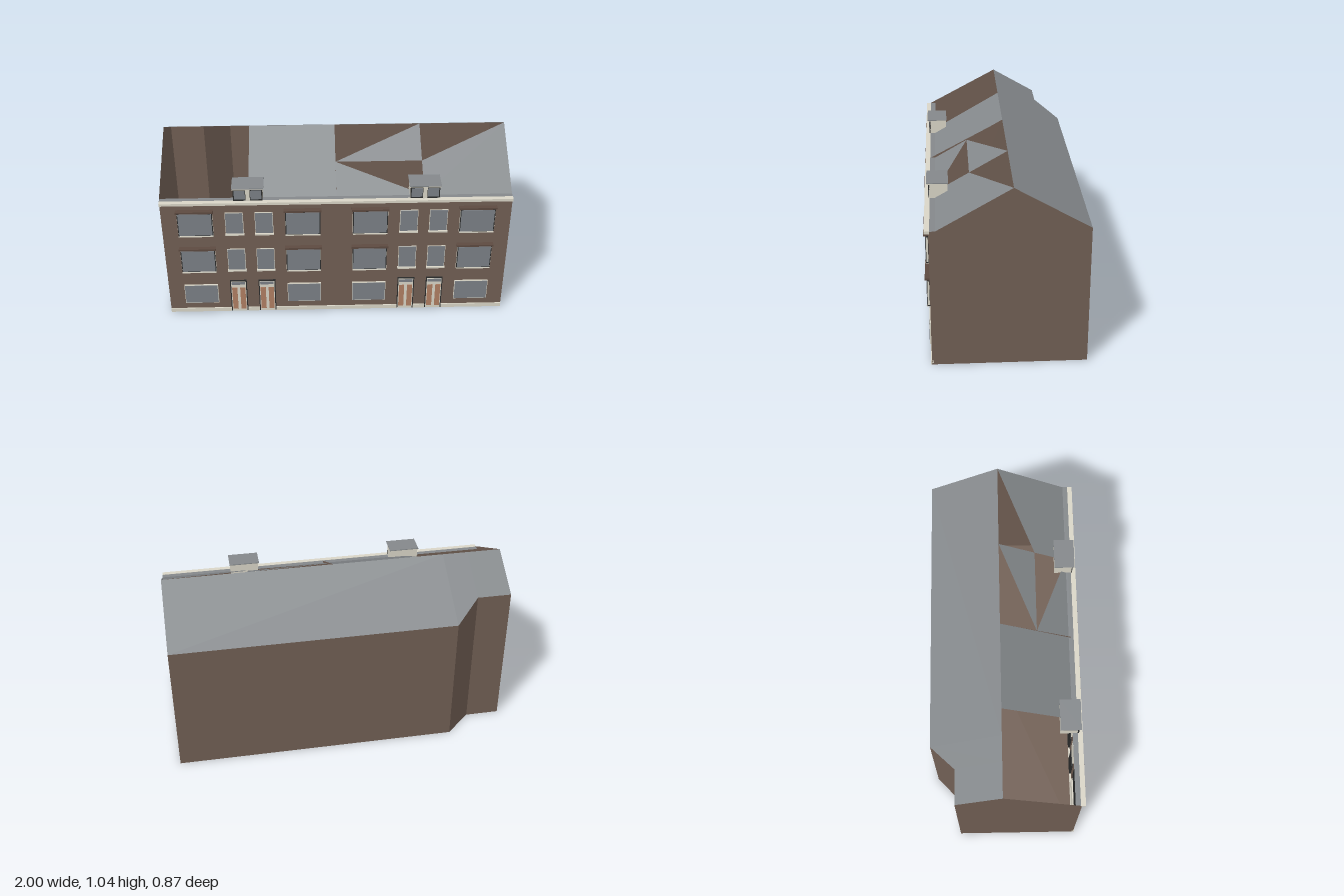
import * as THREE from 'three';

const mat = (name, color, double) => {
  const m = new THREE.MeshStandardMaterial({ color });
  m.name = name;
  if (double) m.side = THREE.DoubleSide;
  return m;
};

export function createModel() {
  const model = new THREE.Group();
  model.name = 'terraceBuilding';
  const brick = mat('brick', 0x715f54, true);
  const slate = mat('slate', 0x84888b, true);
  const glass = mat('glass', 0x7b8086);
  const cream = mat('cream', 0xd9d5c7);
  const dark = mat('darkTrim', 0x2b2c2c);
  const wood = mat('doorWood', 0xb07f63);
  const lintelBrown = mat('lintelBrown', 0x5d4a40);

  // Main dimensions
  const F = 0.408, B = -0.437, RZ = -0.03, RY = 1.037, EY = 0.803, EZ = 0.373;
  const NOTCH = -0.295;
  const slope = (RY - EY) / (RZ - B);
  const backY = z => RY - (RZ - z) * slope;
  const frontY = z => RY - (z - RZ) * (RY - EY) / (EZ - RZ);

  // Flat polygon fan, corners anticlockwise from outside
  function poly(name, material, pts, parent = model) {
    const g = new THREE.BufferGeometry();
    const v = [];
    for (let i = 1; i < pts.length - 1; i++) v.push(...pts[0], ...pts[i], ...pts[i + 1]);
    g.setAttribute('position', new THREE.Float32BufferAttribute(v, 3));
    g.computeVertexNormals();
    const mesh = new THREE.Mesh(g, material);
    mesh.name = name;
    parent.add(mesh);
  }

  // Box given by its minimum and maximum corners
  function box(name, material, x0, x1, y0, y1, z0, z1, parent = model) {
    const mesh = new THREE.Mesh(new THREE.BoxGeometry(x1 - x0, y1 - y0, z1 - z0), material);
    mesh.position.set((x0 + x1) / 2, (y0 + y1) / 2, (z0 + z1) / 2);
    mesh.name = name;
    parent.add(mesh);
  }

  function group(name, x, y = 0) {
    const g = new THREE.Group();
    g.name = name;
    g.position.set(x, y, 0);
    model.add(g);
    return g;
  }

  // Outer walls: plan outline with a chamfered notch at one back corner
  const plan = [[1, F], [1, B], [-0.65, B], [-0.8, NOTCH], [-1, NOTCH], [-1, F]];
  poly('floor', brick, plan.map(([x, z]) => [x, 0, z]).reverse());
  poly('frontWall', brick, [[-1, 0, F], [1, 0, F], [1, EY, F], [-1, EY, F]]);
  for (let i = 1; i < 4; i++) {
    const [[xa, za], [xb, zb]] = [plan[i], plan[i + 1]];
    poly('backWall', brick, [[xa, 0, za], [xb, 0, zb], [xb, backY(zb), zb], [xa, backY(za), za]]);
  }
  // Gables and the party wall; each is a fan from the ridge
  const gable = (x, back, drop = 0) => [
    [x, RY - drop, RZ], [x, EY - drop, EZ], [x, EY - drop, F - drop], [x, 0, F - drop],
    [x, 0, back + drop], [x, backY(back) - drop, back + drop]];
  poly('rightGable', brick, gable(-1, NOTCH));
  poly('leftGable', brick, gable(1, B).reverse());
  poly('partyWall', brick, gable(0, B, 0.003));

  // Rear roof slope
  const rear = (x, z) => [x, backY(z), z];
  poly('rearRoof', slate, [rear(-0.65, RZ), rear(1, RZ), rear(1, B), rear(-0.65, B)]);
  poly('rearRoof', slate, [rear(-1, RZ), rear(-0.8, RZ), rear(-0.8, NOTCH), rear(-1, NOTCH)]);
  poly('rearRoof', slate, [rear(-0.8, RZ), rear(-0.65, RZ), rear(-0.65, B), rear(-0.8, NOTCH)]);

  // Unfinished front slope, left open in places
  const M = 0.183;
  const panels = [
    [[-0.5, EZ], [0, EZ], [0, RZ], [-0.5, RZ]],
    [[0, EZ], [0.5, EZ], [0, M]],
    [[0, M], [0.5, M], [0.5, RZ]],
    [[0.5, EZ], [1, EZ], [1, RZ], [0.5, M]],
  ];
  for (const p of panels) poly('frontRoof', slate, p.map(([x, z]) => [x, frontY(z), z]));
  poly('eavesLedge', slate, [[-1, EY, F], [1, EY, F], [1, EY, EZ], [-1, EY, EZ]]);
  box('gutter', cream, -1, 1, 0.788, 0.804, 0.402, 0.43);

  // Plinth broken by the doorways
  const doors = [-0.585, -0.415, 0.415, 0.585];
  let start = -1;
  for (const x of [...doors, 1.05]) {
    box('plinth', cream, start, x - 0.05, 0, 0.025, F - 0.01, 0.414);
    start = x + 0.05;
  }

  // Front doors with transom light
  for (const x of doors) {
    const d = group('frontDoor', x);
    box('doorFrame', dark, -0.05, 0.05, 0, 0.235, F - 0.01, 0.412, d);
    box('doorSurround', cream, -0.044, 0.044, 0, 0.226, 0.41, 0.4135, d);
    box('transomPane', glass, -0.04, 0.04, 0.203, 0.222, 0.411, 0.415, d);
    for (const s of [-1, 1])
      box('doorLeaf', wood, s * 0.024 - 0.0155, s * 0.024 + 0.0155, 0.018, 0.18, 0.411, 0.415, d);
  }

  // Wide windows: projecting on the upper floors, plain at ground level
  for (const x of [-0.807, -0.193, 0.193, 0.807]) {
    for (const [y0, y1] of [[0.57, 0.732], [0.308, 0.47]]) {
      const w = group('bayWindow', x);
      box('bayFrame', dark, -0.1, 0.1, y0 + 0.004, y1, F - 0.01, 0.424, w);
      box('bayCheek', cream, -0.101, 0.101, y0 + 0.01, y1 - 0.008, 0.412, 0.422, w);
      box('bayPane', glass, -0.095, 0.095, y0 + 0.01, y1 - 0.005, 0.42, 0.427, w);
      box('baySill', cream, -0.1, 0.1, y0, y0 + 0.006, F - 0.01, 0.429, w);
      box('bayLintel', lintelBrown, -0.107, 0.107, y1 + 0.003, y1 + 0.015, F - 0.01, 0.435, w);
    }
    const g = group('groundWindow', x);
    box('windowFrame', cream, -0.1, 0.1, 0.07, 0.206, F - 0.01, 0.417, g);
    box('windowPane', glass, -0.097, 0.097, 0.074, 0.203, 0.412, 0.419, g);
  }

  // Narrow windows above the doors
  for (const x of doors)
    for (const [y0, y1] of [[0.575, 0.725], [0.312, 0.468]]) {
      const w = group('narrowWindow', x);
      box('windowFrame', cream, -0.052, 0.052, y0 + 0.006, y1, F - 0.01, 0.413, w);
      box('windowPane', glass, -0.049, 0.049, y0 + 0.008, y1 - 0.002, 0.41, 0.416, w);
      box('windowSill', cream, -0.055, 0.055, y0 - 0.003, y0 + 0.006, F - 0.01, 0.423, w);
    }

  // Roof dormers
  for (const x of [-0.5, 0.5]) {
    const d = group('dormer', x);
    box('dormerBody', cream, -0.083, 0.083, 0.803, 0.884, 0.302, 0.404, d);
    box('dormerFrame', dark, -0.083, 0.083, 0.805, 0.883, 0.4, 0.408, d);
    box('dormerMullion', cream, -0.012, 0.012, 0.805, 0.883, 0.402, 0.411, d);
    for (const s of [-1, 1])
      box('dormerPane', glass, s * 0.046 - 0.031, s * 0.046 + 0.031, 0.815, 0.872, 0.404, 0.41, d);
    box('dormerFascia', cream, -0.088, 0.088, 0.882, 0.889, 0.302, 0.417, d);
    box('dormerRoof', slate, -0.09, 0.09, 0.888, 0.893, 0.3, 0.419, d);
  }
  return model;
}
